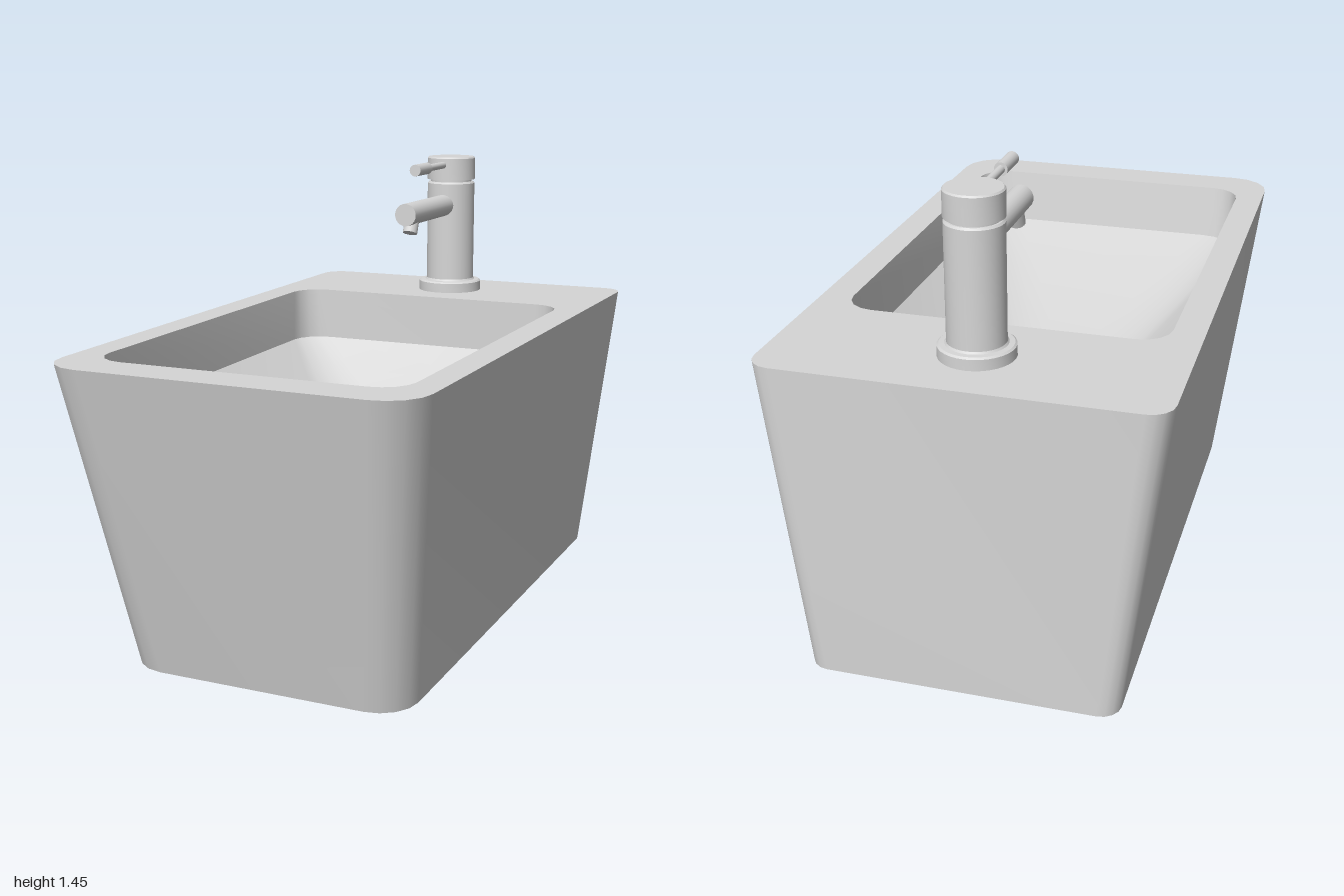
import * as THREE from 'three';
import { toCreasedNormals } from 'three/addons/utils/BufferGeometryUtils.js';

const TOP = 0.966;     // rim height
const LEDGE = 0.79;    // where the basin wall meets the bowl
const DRAIN_Y = 0.5;
const DRAIN_Z = -0.105;
const TAP_Z = -0.762;

// Rounded outline at height y; back and front may differ in width and radius
function ring(y, xBack, xFront, zBack, zFront, rBack, rFront) {
  const corners = [[1, 1], [-1, 1], [-1, -1], [1, -1]];
  const steps = 4, points = [];
  corners.forEach(([sx, sz], k) => {
    const r = sz > 0 ? rFront : rBack;
    const cx = sx * ((sz > 0 ? xFront : xBack) - r);
    const cz = sz > 0 ? zFront - r : zBack + r;
    for (let i = 0; i <= steps; i++) {
      const a = (k + i / steps) * Math.PI / 2;
      points.push([cx + r * Math.cos(a), y, cz + r * Math.sin(a)]);
    }
  });
  return points;
}

// Skin a series of matching outlines
function loft(rings, crease) {
  const n = rings[0].length, index = [];
  for (let j = 0; j < rings.length - 1; j++) {
    for (let i = 0; i < n; i++) {
      const a = j * n + i, b = j * n + (i + 1) % n;
      index.push(a, a + n, b + n, a, b + n, b);
    }
  }
  const g = new THREE.BufferGeometry();
  g.setAttribute('position', new THREE.Float32BufferAttribute(rings.flat(2), 3));
  g.setIndex(index);
  return toCreasedNormals(g, crease);
}

function turned(profile, segments = 32) {
  const pts = profile.map(([r, y]) => new THREE.Vector2(r, y));
  return toCreasedNormals(new THREE.LatheGeometry(pts, segments), 0.6);
}

export function createModel() {
  const ceramic = new THREE.MeshStandardMaterial({ color: 0xd6d6d6 });
  ceramic.name = 'light grey';
  const model = new THREE.Group();
  model.name = 'bidet';

  const add = (parent, name, geometry, x = 0, y = 0, z = 0) => {
    const mesh = new THREE.Mesh(geometry, ceramic);
    mesh.name = name;
    mesh.position.set(x, y, z);
    parent.add(mesh);
    return mesh;
  };

  // Tapered body: underside, outer wall, rim and upright basin wall
  const basinFoot = ring(LEDGE, 0.489, 0.478, -0.547, 0.832, 0.1, 0.12);
  add(model, 'body', loft([
    ring(0, 0, 0, -0.1, -0.1, 0, 0),
    ring(0, 0.468, 0.455, -1, 0.78, 0.06, 0.12),
    ring(TOP, 0.592, 0.572, -1, 1, 0.07, 0.13),
    ring(TOP, 0.491, 0.483, -0.548, 0.86, 0.09, 0.1),
    basinFoot,
  ], 0.6));

  // Dished bowl, flattening towards the drain
  add(model, 'bowl', loft([
    basinFoot,
    ring(0.695, 0.39, 0.385, -0.46, 0.62, 0.12, 0.16),
    ring(0.59, 0.25, 0.25, -0.33, 0.32, 0.14, 0.16),
    ring(DRAIN_Y, 0.1, 0.1, DRAIN_Z - 0.1, DRAIN_Z + 0.1, 0.1, 0.1),
  ], 0.9));

  // Drain flange with a shallow plug
  add(model, 'drain', turned([
    [0.108, -0.015], [0.108, 0.005], [0.1, 0.01], [0.09, 0.01],
    [0.088, 0], [0.083, 0], [0.081, 0.012], [0, 0.012],
  ]), 0, DRAIN_Y, DRAIN_Z);

  // Mixer tap
  const tap = new THREE.Group();
  tap.name = 'tap';
  tap.position.set(0, TOP, TAP_Z);
  model.add(tap);

  add(tap, 'tapBase', turned([
    [0.112, 0], [0.112, 0.033], [0.106, 0.038], [0.09, 0.039], [0.086, 0.045],
  ]));
  add(tap, 'tapColumn', turned([
    [0.085, 0.033], [0.085, 0.39], [0.08, 0.396], [0.074, 0.396], [0.074, 0.409],
  ]));
  add(tap, 'tapCap', turned([
    [0.07, 0.404], [0.086, 0.404], [0.086, 0.48], [0.082, 0.485], [0, 0.485],
  ]));

  // Round bars running forward from the column
  const bar = (name, r, y, zStart, zEnd) => {
    const g = new THREE.CylinderGeometry(r, r, zEnd - zStart, 24);
    g.rotateX(Math.PI / 2);
    add(tap, name, g, 0, y, (zStart + zEnd) / 2);
  };
  bar('spout', 0.038, 0.314, 0.05, 0.437);
  bar('leverStem', 0.012, 0.458, 0.05, 0.25);
  bar('leverGrip', 0.02, 0.458, 0.24, 0.352);

  // Tilted outlet under the spout tip
  const nozzle = add(tap, 'nozzle', new THREE.CylinderGeometry(0.025, 0.025, 0.06, 20), 0, 0.276, 0.383);
  nozzle.rotation.x = -0.4;

  return model;
}
